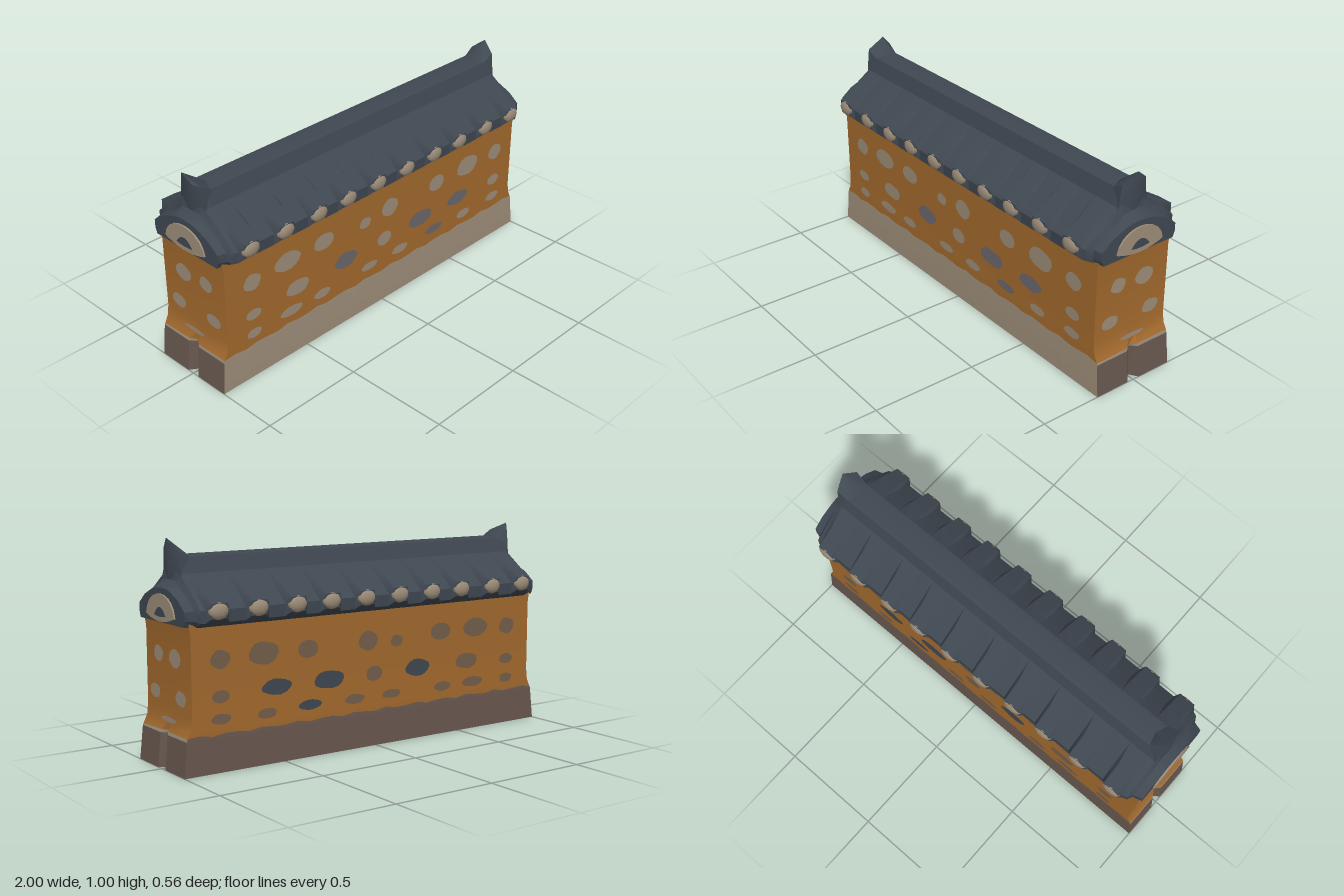
import * as THREE from 'three';
import { toCreasedNormals } from 'three/addons/utils/BufferGeometryUtils.js';
import { ConvexGeometry } from 'three/addons/geometries/ConvexGeometry.js';

const material = (name, color) => {
  const m = new THREE.MeshStandardMaterial({ color });
  m.name = name;
  return m;
};
const V = (x, y, z) => new THREE.Vector3(x, y, z);

// Skin a list of equal-length rings, using points j0..j1 of each
function loft(rings, j0 = 0, j1 = rings[0].length - 1, crease = 0.6) {
  const pos = [], index = [], w = j1 - j0 + 1;
  for (const r of rings) for (let j = j0; j <= j1; j++) pos.push(r[j].x, r[j].y, r[j].z);
  for (let i = 0; i < rings.length - 1; i++)
    for (let j = 0; j < w - 1; j++) {
      const a = i * w + j, d = a + w;
      index.push(a, a + 1, d + 1, a, d + 1, d);
    }
  const g = new THREE.BufferGeometry();
  g.setAttribute('position', new THREE.Float32BufferAttribute(pos, 3));
  g.setIndex(index);
  return toCreasedNormals(g, crease);
}

// Plan outline of the wall: front, left end, back, right end
const N = 32;
function planRing(hx, hz, y, notch = 0, wave = 0) {
  const p = [];
  for (const s of [1, -1]) {
    for (let i = 0; i <= N; i++) p.push(V(s * (-hx + 2 * hx * i / N), y + wave * Math.sin(i * 2.3), s * hz));
    for (const k of [0.16, 0, -0.16]) p.push(V(s * (hx - (k === 0 ? notch : 0)), y, s * hz * k));
  }
  p.push(p[0].clone());
  return p;
}

export function createModel() {
  const root = new THREE.Group();
  root.name = 'tiledWall';
  const plaster = material('ochrePlaster', 0xa2692d);
  const beige = material('beigeStone', 0x9c8c78);
  const brown = material('brownStone', 0x67574e);
  const slate = material('slateRoof', 0x3f4751);
  const blue = material('blueGreyStone', 0x6a676c);
  const dull = material('dullStone', 0x725e4a);
  const add = (name, geo, mat) => {
    const m = new THREE.Mesh(geo, mat);
    m.name = name;
    root.add(m);
    return m;
  };

  // Plinth, with a notch and a pale top band on each end
  const foot = planRing(1, 0.208, 0.005, 0.05);
  const band = planRing(0.985, 0.204, 0.158, 0.03);
  const seam = planRing(0.982, 0.203, 0.172, 0.02, 0.006);
  const endLength = N + 4;
  add('plinthFront', loft([foot, band, seam], 0, N), beige);
  add('plinthEndsAndBack', loft([foot, band], N), brown);
  add('plinthBackTop', loft([band, seam], endLength, endLength + N), brown);
  add('plinthEndTop', loft([band, seam], N, endLength), beige);
  add('plinthEndTop', loft([band, seam], endLength + N), beige);

  // Hollow inside, brown in the plinth and plastered above
  const innerSeam = planRing(0.93, 0.165, 0.19, 0, 0.008);
  add('hollowPlinth', loft([innerSeam, planRing(0.945, 0.17, 0.005, 0.03), foot]), brown);
  add('hollowWall', loft([planRing(0.92, 0, 0.6), planRing(0.92, 0.165, 0.6), innerSeam]), plaster);

  // Plastered wall
  add('wall', loft([
    seam, planRing(0.963, 0.203, 0.205), planRing(0.957, 0.202, 0.26),
    planRing(0.957, 0.202, 0.6), planRing(0.968, 0.203, 0.68),
  ]), plaster);

  // Irregular flat stones: [x, y, width, height, isBlue]
  const stoneShape = (w, h, seed) => {
    const g = new THREE.CircleGeometry(0.5, 14), p = g.attributes.position;
    for (let i = 1; i < p.count; i++) {
      const a = (i - 1) / 14 * Math.PI * 2, k = 1.03 + 0.06 * Math.sin(4 * a + seed) * Math.cos(seed);
      p.setXY(i, p.getX(i) * k * w, p.getY(i) * k * h);
    }
    return g;
  };
  const rows = [
    [[-0.81, 0.495, 0.095, 0.08], [-0.605, 0.505, 0.15, 0.09], [-0.385, 0.505, 0.12, 0.08], [-0.12, 0.485, 0.07, 0.055],
      [0.045, 0.5, 0.105, 0.09], [0.375, 0.495, 0.105, 0.08], [0.605, 0.5, 0.15, 0.1], [0.82, 0.495, 0.095, 0.08]],
    [[-0.81, 0.33, 0.085, 0.05], [-0.55, 0.345, 0.135, 0.075], [-0.245, 0.345, 0.14, 0.08, 1], [0.01, 0.345, 0.09, 0.07],
      [0.262, 0.345, 0.16, 0.08, 1], [0.54, 0.345, 0.15, 0.07, 1], [0.82, 0.335, 0.085, 0.055]],
    [[-0.81, 0.233, 0.08, 0.045], [-0.59, 0.238, 0.13, 0.048], [-0.4, 0.236, 0.1, 0.045],
      [-0.09, 0.238, 0.105, 0.04], [0.12, 0.238, 0.105, 0.045], [0.365, 0.243, 0.12, 0.045, 1],
      [0.59, 0.233, 0.095, 0.045], [0.82, 0.238, 0.095, 0.045]],
  ];
  rows.flat().forEach(([x, y, w, h, isBlue], i) => {
    const g = stoneShape(w, h, i);
    add('frontStone', g, isBlue ? blue : beige).position.set(x, y, 0.206);
    const back = add('backStone', g, isBlue ? slate : dull);
    back.position.set(x, y, -0.206);
    back.rotation.y = Math.PI;
  });

  // End stones: [z, y, width, height]
  const endStones = [[0.082, 0.497, 0.08, 0.07], [-0.066, 0.492, 0.1, 0.08], [0.12, 0.327, 0.09, 0.062],
    [-0.112, 0.325, 0.09, 0.066], [-0.01, 0.219, 0.13, 0.024]];
  for (const s of [1, -1])
    endStones.forEach(([z, y, w, h], i) => {
      const m = add('endStone', stoneShape(w, h, i), beige);
      m.position.set(s * (y < 0.3 ? 0.966 : 0.961), y, z);
      m.rotation.y = s * Math.PI / 2;
    });

  // Roof: cross-sections along x, raised at each tile roll, shrinking at the ends
  const endProfile = [[0, 0.79], [0.05, 0.787], [0.08, 0.78], [0.15, 0.75], [0.205, 0.707], [0.205, 0.668], [0.195, 0.642]];
  function section(x, r, e) {
    const half = [[0, 0.928], [0.058, 0.92], [0.08, 0.85], [0.17, 0.783 + 0.02 * r],
      [0.25 + 0.019 * r, 0.712 + 0.03 * r], [0.247 + 0.018 * r, 0.658 + 0.018 * r], [0.2, 0.635]]
      .map(([z, y], i) => [THREE.MathUtils.lerp(z, endProfile[i][0], e), THREE.MathUtils.lerp(y, endProfile[i][1], e)]);
    const p = [...half.slice(1).reverse().map(([z, y]) => V(x, y, -z)), ...half.map(([z, y]) => V(x, y, z))];
    p.push(p[0].clone());
    return p;
  }
  const rolls = [0.095, 0.285, 0.465, 0.66, 0.855];
  const centres = [...rolls.map(x => -x).reverse(), ...rolls];
  const ends = [[0.93, 0, 0.15], [0.945, 0, 0.75], [0.985, 0, 1]];
  const stations = [
    ...ends.map(([x, r, e]) => [-x, r, e]).reverse(),
    ...centres.flatMap(c => [[c - 0.056, 0, 0], [c - 0.039, 1, 0], [c + 0.039, 1, 0], [c + 0.056, 0, 0]]),
    ...ends,
  ];
  const sections = stations.map(s => section(...s));
  const tip = x => sections[0].map(() => V(x, 0.7, 0));
  add('roof', loft([tip(-0.985), ...sections, tip(0.985)], undefined, undefined, 0.6), slate);

  // Pale rounded caps on the tile rolls
  const cap = new THREE.SphereGeometry(1, 10, 8);
  for (const s of [1, -1])
    for (const x of centres) {
      const m = add('tileCap', cap, beige);
      m.position.set(x, 0.709, s * 0.259);
      m.scale.set(0.049, 0.038, 0.021);
    }

  // Pointed horns on the ridge
  const horn = (s, peakY, peakZ) => toCreasedNormals(new ConvexGeometry([
    [0.85, 0.9, 0.058], [0.93, 0.84, 0.08], [0.935, 0.95, 0.064], [0.952, 0.955, 0.03],
  ].flatMap(([x, y, z]) => [V(s * x, y, z), V(s * x, y, -z)])
    .concat([V(s * 0.955, peakY, peakZ), V(s * 0.86, 0.928, 0), V(s * 0.945, 0.79, 0)])), 0.7);
  add('ridgeHorn', horn(1, 1, 0), slate);
  add('ridgeHorn', horn(-1, 0.99, -0.035), slate);

  // Arched gable trims with a dark opening
  const arch = new THREE.Shape();
  arch.moveTo(-0.127, 0.67);
  arch.bezierCurveTo(-0.11, 0.796, 0.11, 0.796, 0.127, 0.67);
  arch.quadraticCurveTo(0, 0.622, -0.127, 0.67);
  const opening = new THREE.Path();
  opening.moveTo(-0.052, 0.672);
  opening.quadraticCurveTo(0, 0.745, 0.052, 0.672);
  opening.quadraticCurveTo(0, 0.66, -0.052, 0.672);
  arch.holes.push(opening);
  const trim = new THREE.ExtrudeGeometry(arch, { depth: 0.009, bevelEnabled: false, curveSegments: 10 });
  for (const s of [1, -1]) {
    const m = add('gableTrim', trim, beige);
    m.position.x = s * 0.984;
    m.rotation.y = s * Math.PI / 2;
  }
  return root;
}
